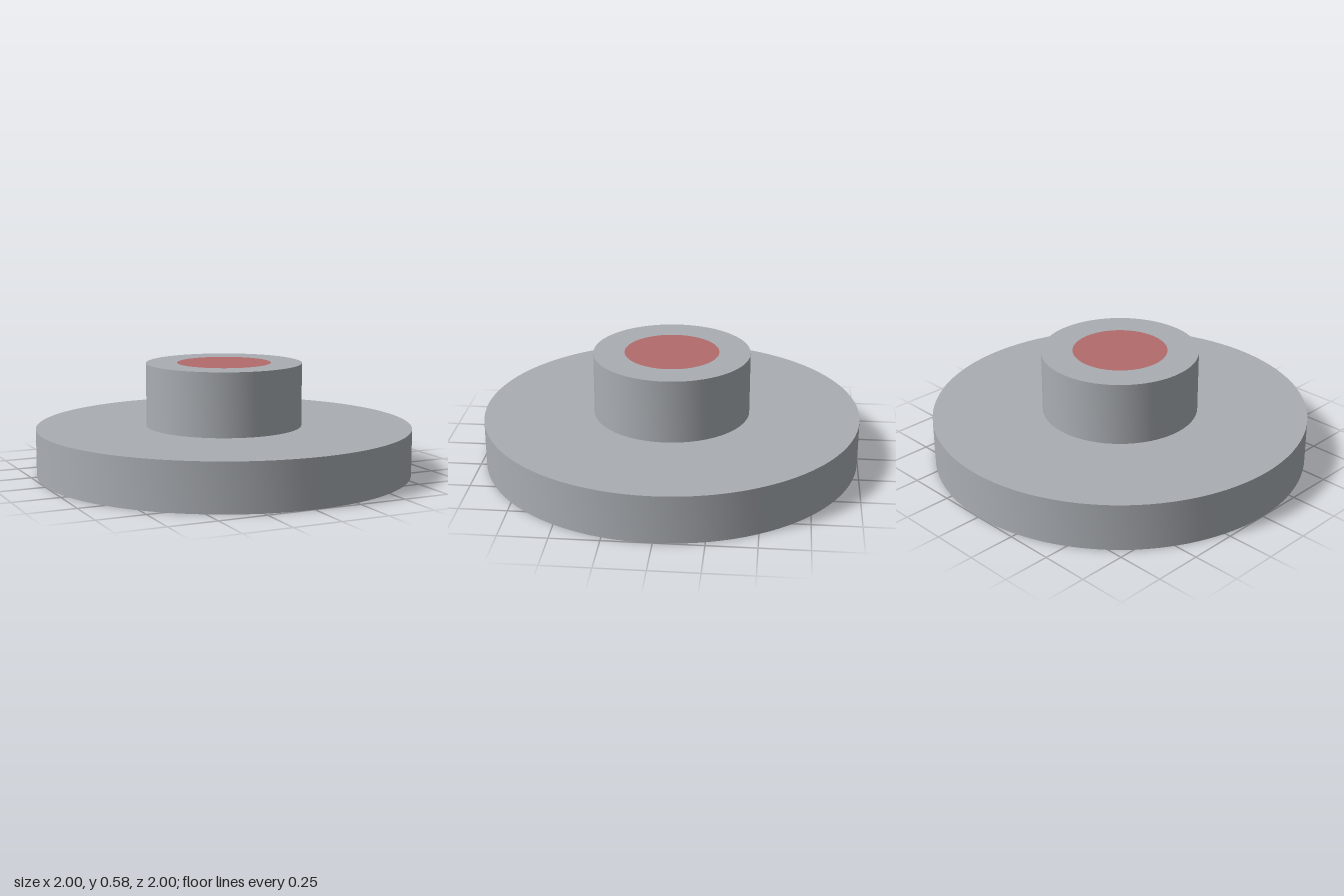
import * as THREE from 'three';
import { toCreasedNormals } from 'three/addons/utils/BufferGeometryUtils.js';

const SEGMENTS = 96;
const BORE = 0.25;
const HEIGHT = 0.585;

export function createModel() {
  const model = new THREE.Group();
  model.name = 'flangedHub';

  const steel = new THREE.MeshStandardMaterial({ color: 0xaaaeb3 });
  steel.name = 'steel grey';
  const red = new THREE.MeshStandardMaterial({ color: 0xb26b6b });
  red.name = 'dull red';

  // Wide disc and raised hub, turned as one piece around a through bore
  const profile = [
    [BORE, 0], [1, 0], [1, 0.25], [0.415, 0.25],
    [0.415, HEIGHT], [BORE, HEIGHT], [BORE, 0],
  ].map(([r, y]) => new THREE.Vector2(r, y));
  const flange = new THREE.Mesh(
    toCreasedNormals(new THREE.LatheGeometry(profile, SEGMENTS), Math.PI / 6), steel);
  flange.name = 'flange';
  model.add(flange);

  // Core filling the bore, flush with both end faces
  const core = new THREE.Mesh(
    new THREE.CylinderGeometry(BORE, BORE, HEIGHT, SEGMENTS), red);
  core.name = 'core';
  core.position.y = HEIGHT / 2;
  model.add(core);

  return model;
}
